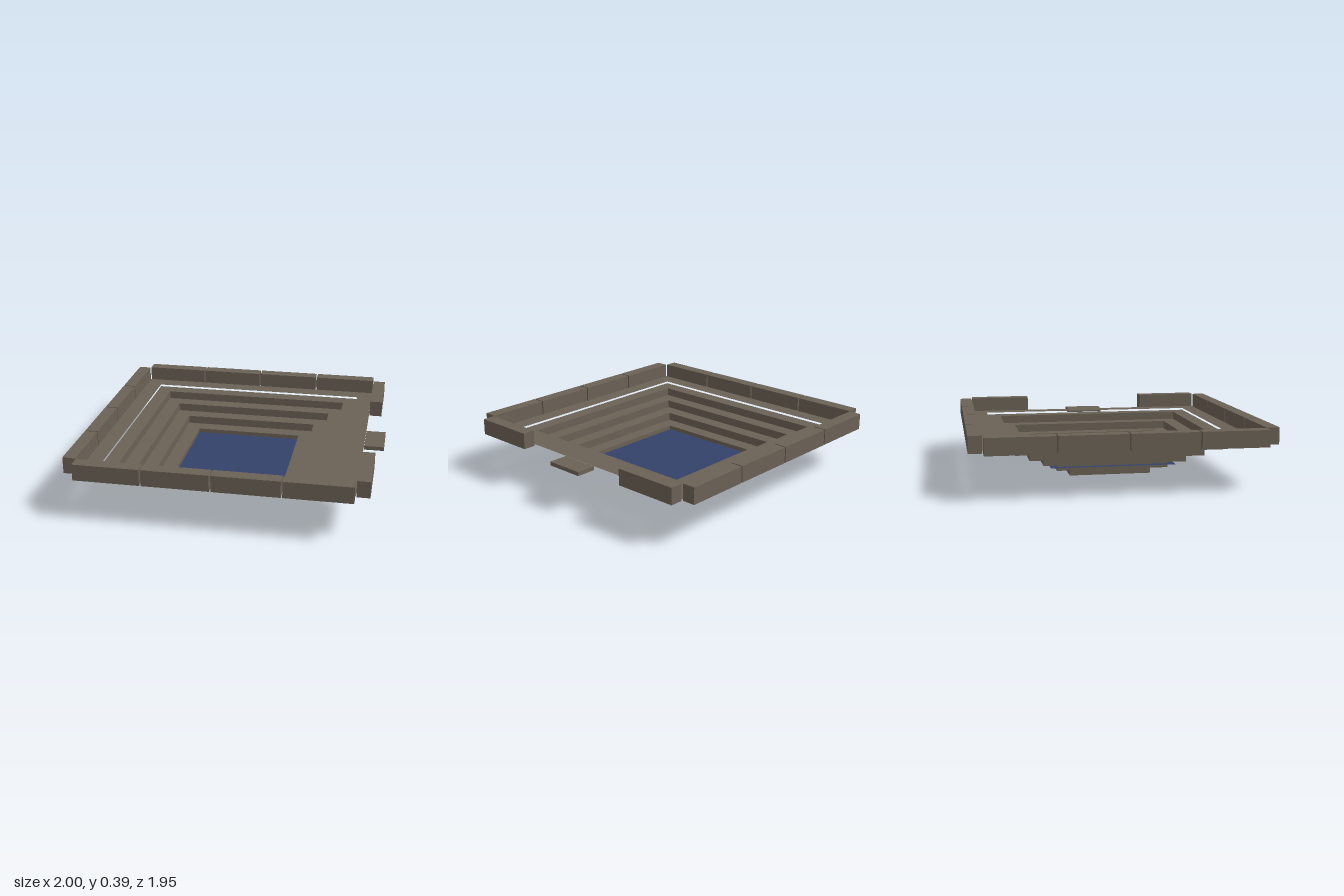
import * as THREE from 'three';

const stone = new THREE.MeshStandardMaterial({ color: 0x6b6256, side: THREE.DoubleSide });
stone.name = 'stone';
const water = new THREE.MeshStandardMaterial({ color: 0x34426a, side: THREE.DoubleSide });
water.name = 'water';

const CX = -0.024;   // centre of the basin
const RIM = 0.888;   // half width of the rim sheet

// Square sheet surface swept from [halfWidth, height] points, with flat faces
function squareSweep(profile) {
  const points = profile.map(([h, y]) => new THREE.Vector2(h * Math.SQRT2, y));
  const geometry = new THREE.LatheGeometry(points, 4).rotateY(Math.PI / 4).toNonIndexed();
  geometry.computeVertexNormals();
  return geometry;
}

export function createModel() {
  const group = new THREE.Group();
  group.name = 'steppedPool';

  const add = (name, geometry, material, x, y, z) => {
    const mesh = new THREE.Mesh(geometry, material);
    mesh.name = name;
    mesh.position.set(x, y, z);
    group.add(mesh);
  };

  // Stepped basin, open at the bottom: riser then tread, five times
  const steps = [];
  for (let i = 0; i < 5; i++) {
    const half = 0.278 + i * 0.1;
    steps.push([half, i * 0.056], [half, (i + 1) * 0.056]);
  }
  steps.push([0.778, 0.28]);
  add('basinSteps', squareSweep(steps), stone, CX, 0, 0);

  // Flat walkway, set just above the top tread
  add('rimWalkway', squareSweep([[0.778, 0.294], [RIM, 0.294]]), stone, CX, 0, 0);

  // Water surface
  add('waterSurface', new THREE.PlaneGeometry(0.847, 0.847).rotateX(-Math.PI / 2), water, CX, 0.083, 0);

  // Curb blocks, four to a side; the left side leaves the middle open as an entrance
  const long = 0.435, thick = 0.086, high = 0.11, y = 0.338;
  const alongX = new THREE.BoxGeometry(long, high, thick);
  const alongZ = new THREE.BoxGeometry(thick, high, long);
  const offset = RIM + 0.046;
  for (let i = 0; i < 4; i++) {
    const t = (i - 1.5) * 0.445;
    add('frontCurb', alongX, stone, CX + t, y, offset);
    add('backCurb', alongX, stone, CX + t, y, -offset);
    add('rightCurb', alongZ, stone, CX - offset, y, t);
    if (i === 0 || i === 3) add('leftCurb', alongZ, stone, CX + offset, y, t);
  }

  // Entrance step
  add('entranceStep', new THREE.BoxGeometry(0.134, 0.027, 0.264), stone, 0.932, 0.2805, 0);

  return group;
}
